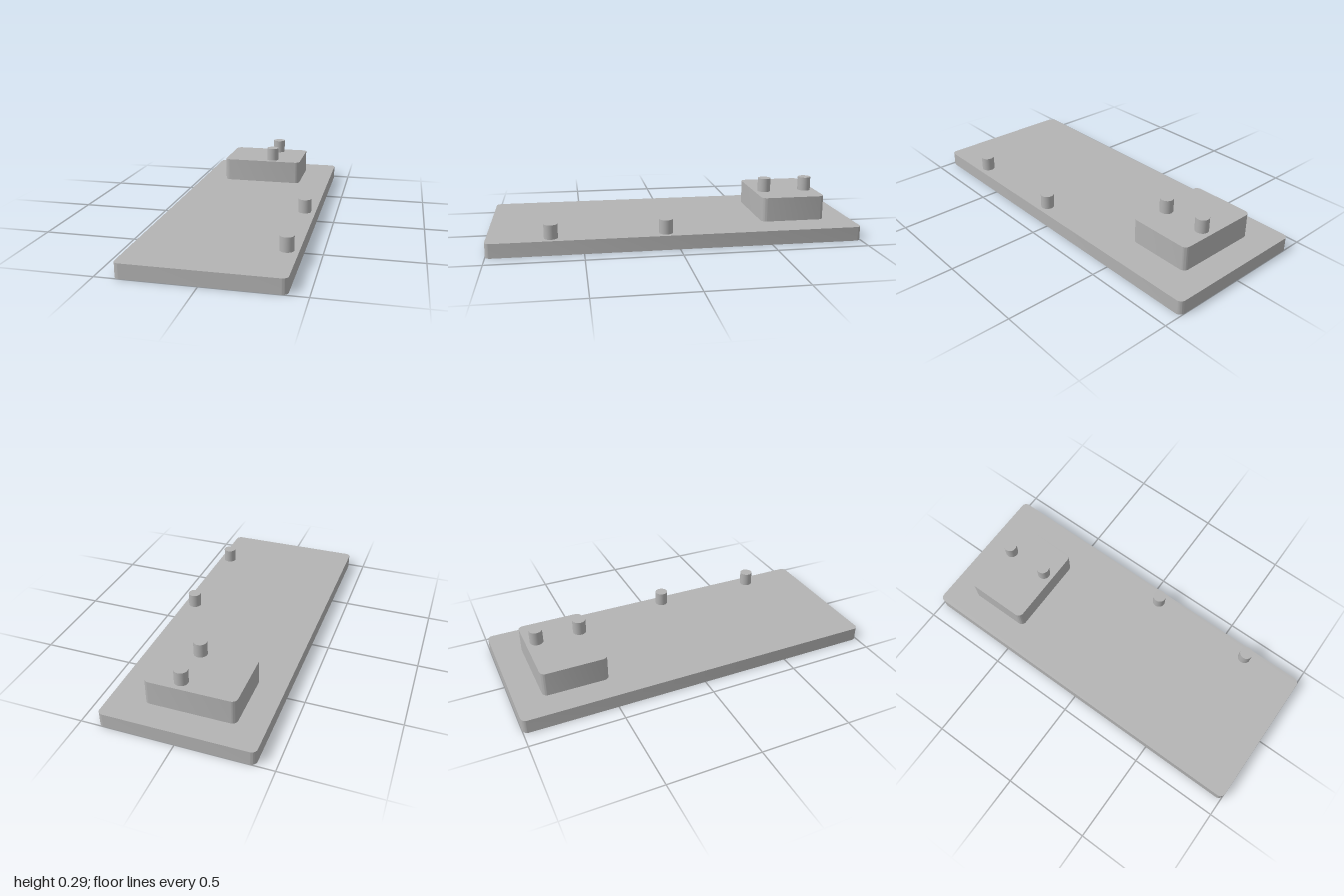
import * as THREE from 'three';
import { toCreasedNormals } from 'three/addons/utils/BufferGeometryUtils.js';

const grey = new THREE.MeshStandardMaterial({ color: 0xb3b3b3 });
grey.name = 'plain grey';

// Upright slab with rounded vertical corners, spanning x0..x1, y0..y1, z0..z1
function slab(name, x0, x1, y0, y1, z0, z1, r) {
  const a = -z1, b = -z0; // shape y becomes -z
  const s = new THREE.Shape();
  s.moveTo(x0 + r, a);
  s.lineTo(x1 - r, a);
  s.absarc(x1 - r, a + r, r, -Math.PI / 2, 0);
  s.lineTo(x1, b - r);
  s.absarc(x1 - r, b - r, r, 0, Math.PI / 2);
  s.lineTo(x0 + r, b);
  s.absarc(x0 + r, b - r, r, Math.PI / 2, Math.PI);
  s.lineTo(x0, a + r);
  s.absarc(x0 + r, a + r, r, Math.PI, Math.PI * 1.5);
  const g = new THREE.ExtrudeGeometry(s, { depth: y1 - y0, bevelEnabled: false, curveSegments: 8 });
  g.rotateX(-Math.PI / 2);
  g.translate(0, y0, 0);
  const mesh = new THREE.Mesh(toCreasedNormals(g, Math.PI / 6), grey);
  mesh.name = name;
  return mesh;
}

// Round peg standing on height y
function peg(name, x, y, z) {
  const h = 0.076;
  const mesh = new THREE.Mesh(new THREE.CylinderGeometry(0.036, 0.036, h, 40), grey);
  mesh.position.set(x, y + h / 2, z);
  mesh.name = name;
  return mesh;
}

export function createModel() {
  const model = new THREE.Group();
  model.name = 'peggedPlate';
  const plateTop = 0.077, blockTop = 0.211;

  model.add(slab('basePlate', -0.405, 0.405, 0, plateTop, -1, 1, 0.03));
  model.add(slab('raisedBlock', -0.257, 0.224, plateTop, blockTop, -0.851, -0.492, 0.03));

  // Two pegs on the block, two along the plate's left edge
  for (const z of [-0.791, -0.551]) model.add(peg('blockPeg', 0.044, blockTop, z));
  for (const z of [0.068, 0.668]) model.add(peg('platePeg', 0.344, plateTop, z));

  return model;
}
